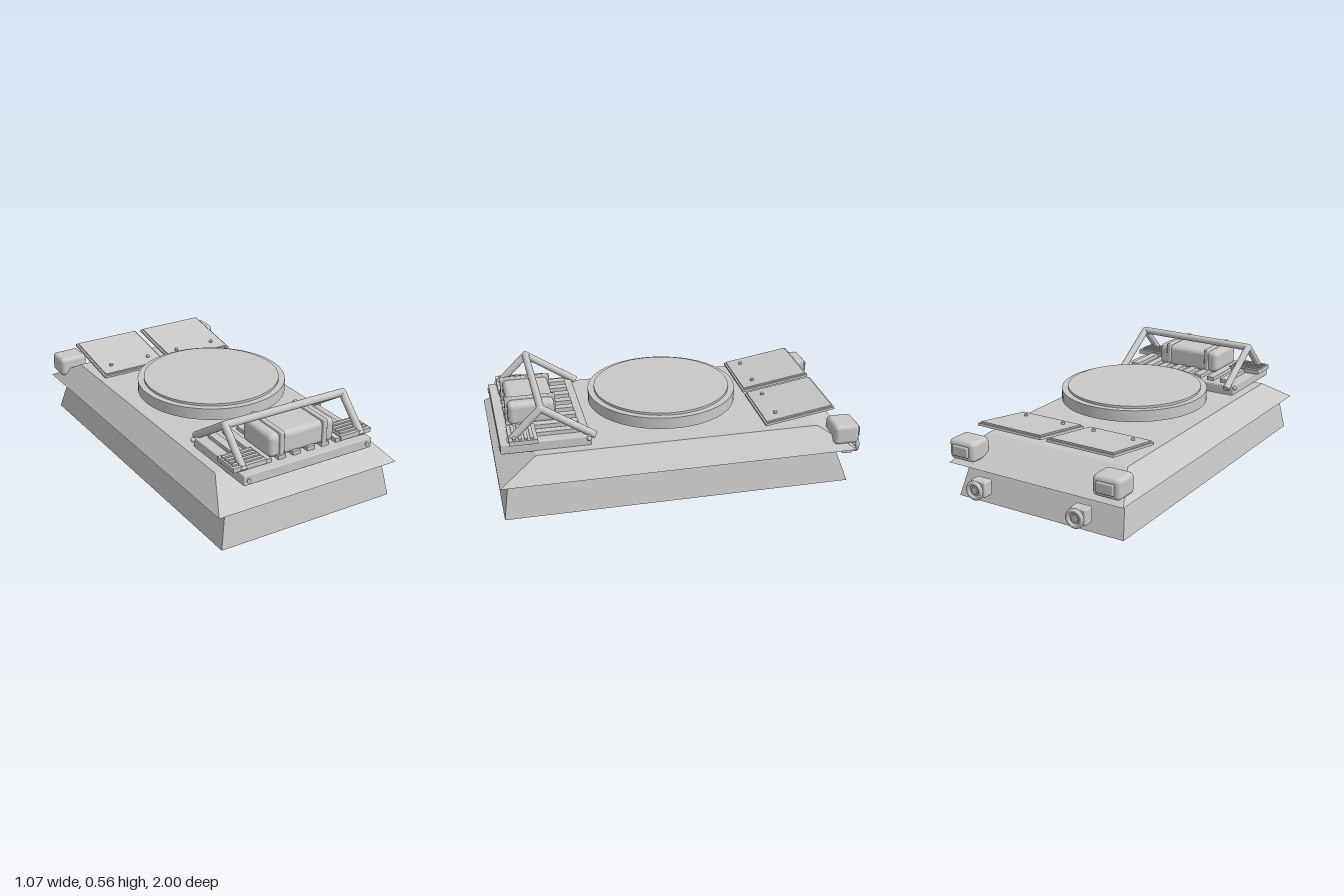
import * as THREE from 'three';
import { toCreasedNormals } from 'three/addons/utils/BufferGeometryUtils.js';
import { RoundedBoxGeometry } from 'three/addons/geometries/RoundedBoxGeometry.js';

const grey = new THREE.MeshStandardMaterial({ color: 0xc8c8c8 });
grey.name = 'plain grey';

function add(parent, name, geometry, x = 0, y = 0, z = 0) {
  const mesh = new THREE.Mesh(geometry, grey);
  mesh.name = name;
  mesh.position.set(x, y, z);
  parent.add(mesh);
  return mesh;
}

// Box given by its limits, optionally with rounded edges
function box(parent, name, [x0, x1], [y0, y1], [z0, z1], r = 0) {
  const s = [x1 - x0, y1 - y0, z1 - z0];
  const g = r ? new RoundedBoxGeometry(...s, 3, r) : new THREE.BoxGeometry(...s);
  return add(parent, name, g, (x0 + x1) / 2, (y0 + y1) / 2, (z0 + z1) / 2);
}

// Box whose bottom and top rectangles differ: { y, x, back, front }
function frustum(parent, name, low, high) {
  const g = new THREE.BoxGeometry(1, 1, 1);
  const p = g.attributes.position;
  for (let i = 0; i < p.count; i++) {
    const e = p.getY(i) > 0 ? high : low;
    p.setXYZ(i, Math.sign(p.getX(i)) * e.x, e.y, p.getZ(i) > 0 ? e.front : e.back);
  }
  g.computeVertexNormals();
  return add(parent, name, g);
}

// Round bar between two points
function rod(parent, name, a, b, r, sides = 20) {
  const p = new THREE.Vector3(...a), q = new THREE.Vector3(...b);
  const d = q.clone().sub(p);
  const mesh = add(parent, name, new THREE.CylinderGeometry(r, r, d.length(), sides));
  mesh.position.copy(p).add(q).multiplyScalar(0.5);
  mesh.quaternion.setFromUnitVectors(new THREE.Vector3(0, 1, 0), d.normalize());
  return mesh;
}

function group(parent, name) {
  const g = new THREE.Group();
  g.name = name;
  parent.add(g);
  return g;
}

function buildHull(model) {
  frustum(model, 'lowerHull',
    { y: 0, x: 0.51, back: -0.87, front: 0.985 },
    { y: 0.197, x: 0.475, back: -0.8, front: 0.955 });
  frustum(model, 'upperHull',
    { y: 0.195, x: 0.535, back: -0.91, front: 1.0 },
    { y: 0.315, x: 0.435, back: -0.71, front: 0.8 });
}

// Stepped turret base floating above the deck
function buildTurretRing(model) {
  const pts = [[0, 0.37], [0.404, 0.37], [0.404, 0.433], [0.37, 0.433], [0.37, 0.446], [0, 0.446]];
  const g = new THREE.LatheGeometry(pts.map(([x, y]) => new THREE.Vector2(x, y)), 72);
  add(model, 'turretRing', toCreasedNormals(g, 0.6), 0, 0, 0.053);
}

// Tilted engine covers with rivets
function buildEngineCover(model, side) {
  const cover = group(model, 'engineCover');
  cover.position.set(side * 0.217, 0.372, -0.617);
  cover.rotation.x = 0.16;
  box(cover, 'coverPlate', [-0.198, 0.198], [-0.011, 0.003], [-0.193, 0.193]);
  box(cover, 'coverPanel', [-0.188, 0.188], [0.003, 0.011], [-0.183, 0.183]);
  for (const x of [-0.12, 0.12]) {
    add(cover, 'coverRivet', new THREE.CylinderGeometry(0.01, 0.01, 0.012, 16), x, 0.016, 0.113);
  }
}

// Tail lamp housing and round towing lamp
function buildRearFittings(model, side) {
  const lamp = group(model, 'tailLamp');
  const cx = side * 0.442;
  box(lamp, 'lampHousing', [cx - 0.08, cx + 0.08], [0.225, 0.336], [-0.922, -0.782], 0.024);
  box(lamp, 'lampLens', [cx - 0.05, cx + 0.05], [0.252, 0.31], [-0.935, -0.918], 0.006);

  const round = group(model, 'roundLamp');
  round.position.set(side * 0.308, 0.117, 0);
  box(round, 'roundLampBlock', [-0.045, 0.045], [-0.043, 0.043], [-0.963, -0.9], 0.008);
  rod(round, 'roundLampNeck', [0, 0, -0.955], [0, 0, -0.986], 0.03, 24);
  add(round, 'roundLampRim', new THREE.TorusGeometry(0.041, 0.012, 12, 32), 0, 0, -0.988);
  rod(round, 'roundLampLens', [0, 0, -0.98], [0, 0, -0.992], 0.02, 24);
}

// Luggage tray with slats, canister and side boxes
function buildRack(model) {
  const rack = group(model, 'frontRack');
  box(rack, 'rackTray', [-0.382, 0.382], [0.31, 0.366], [0.505, 0.975], 0.006);
  for (let i = 0; i < 8; i++) {
    const x = (i - 3.5) * 0.0862;
    box(rack, 'rackSlat', [x - 0.022, x + 0.022], [0.36, 0.387], [0.55, 0.925]);
  }
  box(rack, 'canister', [-0.195, 0.195], [0.372, 0.498], [0.665, 0.912], 0.028);
  for (const x of [-0.128, 0.128]) {
    box(rack, 'canisterStrap', [x - 0.013, x + 0.013], [0.37, 0.51], [0.655, 0.924], 0.006);
  }
  for (const s of [-1, 1]) {
    const side = group(rack, 'sideStep');
    side.position.x = s * 0.318;
    box(side, 'stepPlate', [-0.095, 0.095], [0.37, 0.394], [0.783, 0.93]);
    for (let i = 0; i < 4; i++) {
      const z = 0.812 + i * 0.03;
      box(side, 'stepRib', [-0.085, 0.085], [0.393, 0.402], [z - 0.009, z + 0.009]);
    }
    rod(rack, 'trayBolt', [s * 0.355, 0.336, 0.97], [s * 0.355, 0.336, 0.98], 0.012, 16);
    rod(rack, 'sidePin', [s * 0.36, 0.358, 0.518], [s * 0.395, 0.358, 0.518], 0.008, 12);
    add(rack, 'sidePinHead', new THREE.SphereGeometry(0.013, 14, 10), s * 0.393, 0.358, 0.518);
  }
}

// Bent tube guard over the rack
function buildGuard(model) {
  const guard = group(model, 'tubeGuard');
  const r = 0.02, x = 0.354, top = [0.537, 0.757];
  rod(guard, 'guardCrossbar', [-x, ...top], [x, ...top], r);
  for (const s of [-x, x]) {
    rod(guard, 'guardFrontLeg', [s, ...top], [s, 0.368, 0.928], r);
    rod(guard, 'guardRearLeg', [s, ...top], [s, 0.357, 0.482], r);
    add(guard, 'guardElbow', new THREE.SphereGeometry(r, 20, 14), s, ...top);
  }
}

export function createModel() {
  const model = new THREE.Group();
  model.name = 'armouredHull';
  buildHull(model);
  buildTurretRing(model);
  for (const side of [-1, 1]) {
    buildEngineCover(model, side);
    buildRearFittings(model, side);
  }
  buildRack(model);
  buildGuard(model);
  return model;
}
